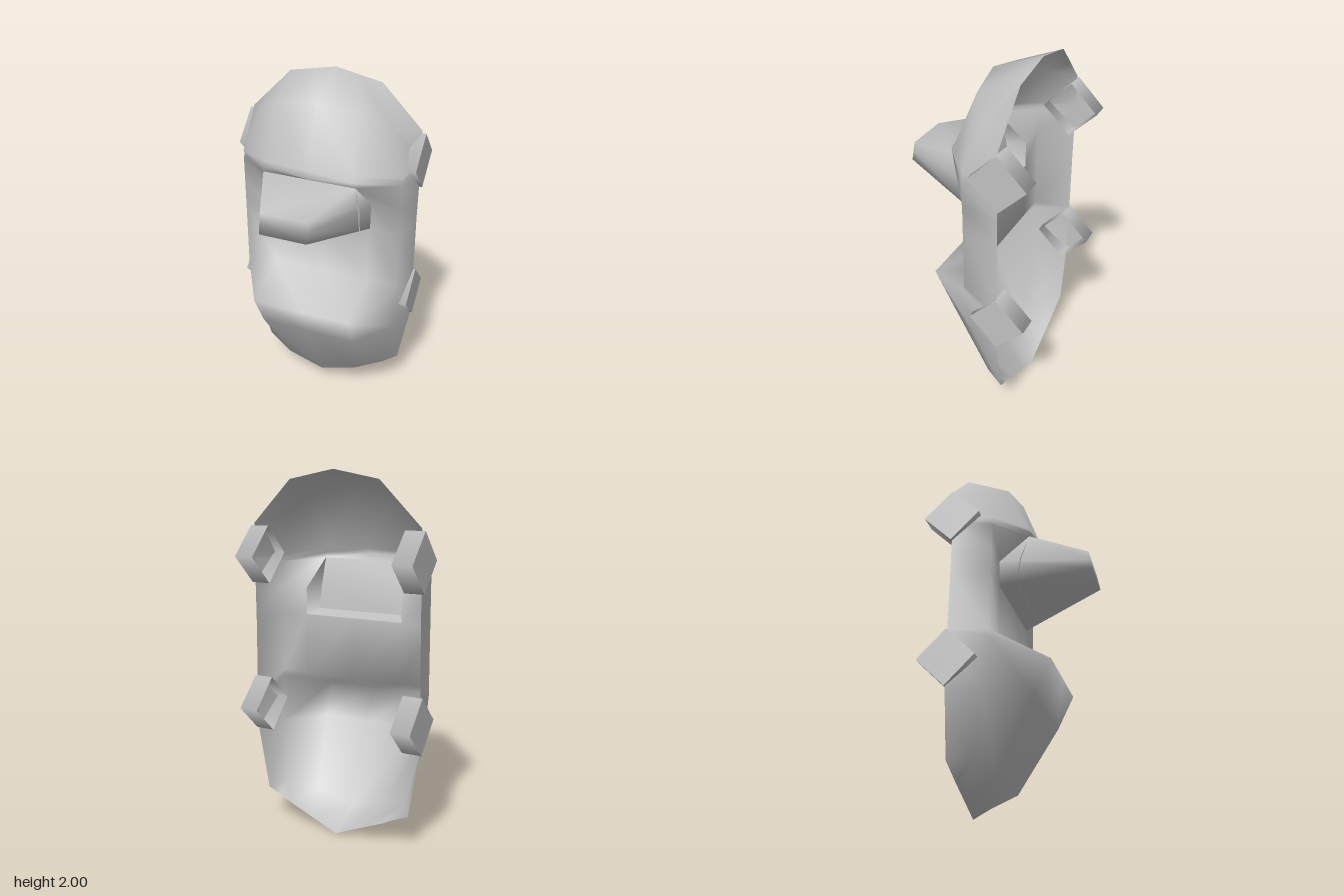
import * as THREE from 'three';

const grey = new THREE.MeshStandardMaterial({ color: 0xc0c0c0, side: THREE.DoubleSide });
grey.name = 'plain grey';

function makeMesh(name, points, index) {
  const g = new THREE.BufferGeometry();
  g.setAttribute('position', new THREE.Float32BufferAttribute(points.flat(), 3));
  g.setIndex(index);
  g.computeVertexNormals();
  const mesh = new THREE.Mesh(g, grey);
  mesh.name = name;
  return mesh;
}

// Face shell: half rows from top to bottom, each running centre, corner, side, rim
function makeShell() {
  const half = [
    [[0, 2, -.27], [.13, 1.975, -.27], [.26, 1.95, -.27], [.375, 1.835, -.27]],
    [[0, 1.9, 0], [.23, 1.86, -.03], [.38, 1.76, -.13], [.49, 1.72, -.27]],
    [[0, 1.57, .12], [.25, 1.565, .09], [.46, 1.53, -.06], [.495, 1.55, -.27]],
    [[0, 1.54, .15], [.25, 1.54, .11], [.46, 1.51, -.07], [.495, 1.52, -.27]],
    [[0, 1.51, .1], [.26, 1.51, .1], [.46, 1.49, -.06], [.495, 1.48, -.27]],
    [[0, 1.35, -.06], [.295, 1.35, -.06], [.46, 1.35, -.06], [.495, 1.35, -.27]],
    [[0, 1.2, -.06], [.295, 1.2, -.06], [.46, 1.2, -.06], [.495, 1.2, -.27]],
    [[0, .86, -.06], [.29, .86, -.06], [.46, .86, -.06], [.5, .86, -.27]],
    [[0, .74, .22], [.29, .74, .22], [.46, .82, -.06], [.5, .74, -.27]],
    [[0, .55, .13], [.28, .55, .13], [.45, .55, -.1], [.5, .55, -.27]],
    [[0, .1, -.09], [.22, .17, -.09], [.38, .22, -.16], [.44, .2, -.27]],
    [[0, .005, -.27], [.15, .07, -.27], [.29, .13, -.27], [.37, .17, -.27]],
  ];
  const rows = half.map(r => [
    ...r.slice(1).reverse().map(([x, y, z]) => [-x, y, z]), ...r,
  ]);
  const n = 7, index = [];
  for (let i = 0; i < rows.length - 1; i++) {
    for (let j = 0; j < n - 1; j++) {
      // opening behind the snout
      if ((i === 4 || i === 5) && (j === 2 || j === 3)) continue;
      const a = i * n + j, b = a + n;
      index.push(a, b, b + 1, a, b + 1, a + 1);
    }
  }
  return makeMesh('faceShell', rows.flat(), index);
}

// Six-point ring, counter-clockwise from the front, from three right-hand points
const ring = side => [
  ...side, ...side.slice().reverse().map(([x, y, z]) => [-x, y, z]),
];

// Tapered snout, closed at the tip
function makeSnout() {
  const base = ring([[.295, 1.2, -.06], [.295, 1.35, -.06], [.26, 1.51, .1]]);
  const tip = ring([[.13, 1.33, .43], [.13, 1.385, .42], [.13, 1.44, .41]]);
  const index = [];
  for (let k = 0; k < 6; k++) {
    const m = (k + 1) % 6;
    index.push(k, m, 6 + m, k, 6 + m, 6 + k);
    if (k > 0 && k < 5) index.push(6, 6 + k, 7 + k);
  }
  return makeMesh('snout', [...base, ...tip], index);
}

// Wall recessed inside the snout opening
function makeInnerWall() {
  const pts = ring([[.268, 1.22, .03], [.268, 1.37, .05], [.258, 1.51, .1]]);
  return makeMesh('snoutInnerWall', pts, [0, 5, 1, 1, 5, 4, 1, 4, 2, 2, 4, 3]);
}

// Diamond strap loop, capped outside and open inside
function makeStrapLoop(side, y) {
  const loop = new THREE.Group();
  loop.name = (side > 0 ? 'left' : 'right') + 'StrapLoop';
  const tube = new THREE.Mesh(
    new THREE.CylinderGeometry(.155, .155, .11, 4, 1, true).rotateZ(Math.PI / 2), grey);
  tube.name = 'loopBand';
  const cap = new THREE.Mesh(
    new THREE.CircleGeometry(.155, 4).rotateY(side * Math.PI / 2), grey);
  cap.name = 'loopOuterCap';
  cap.position.x = side * .055;
  loop.add(tube, cap);
  loop.position.set(side * .457, y, -.272);
  return loop;
}

export function createModel() {
  const model = new THREE.Group();
  model.name = 'mask';
  model.add(makeShell(), makeSnout(), makeInnerWall());
  for (const side of [-1, 1]) {
    for (const y of [.71, 1.55]) model.add(makeStrapLoop(side, y));
  }
  return model;
}
